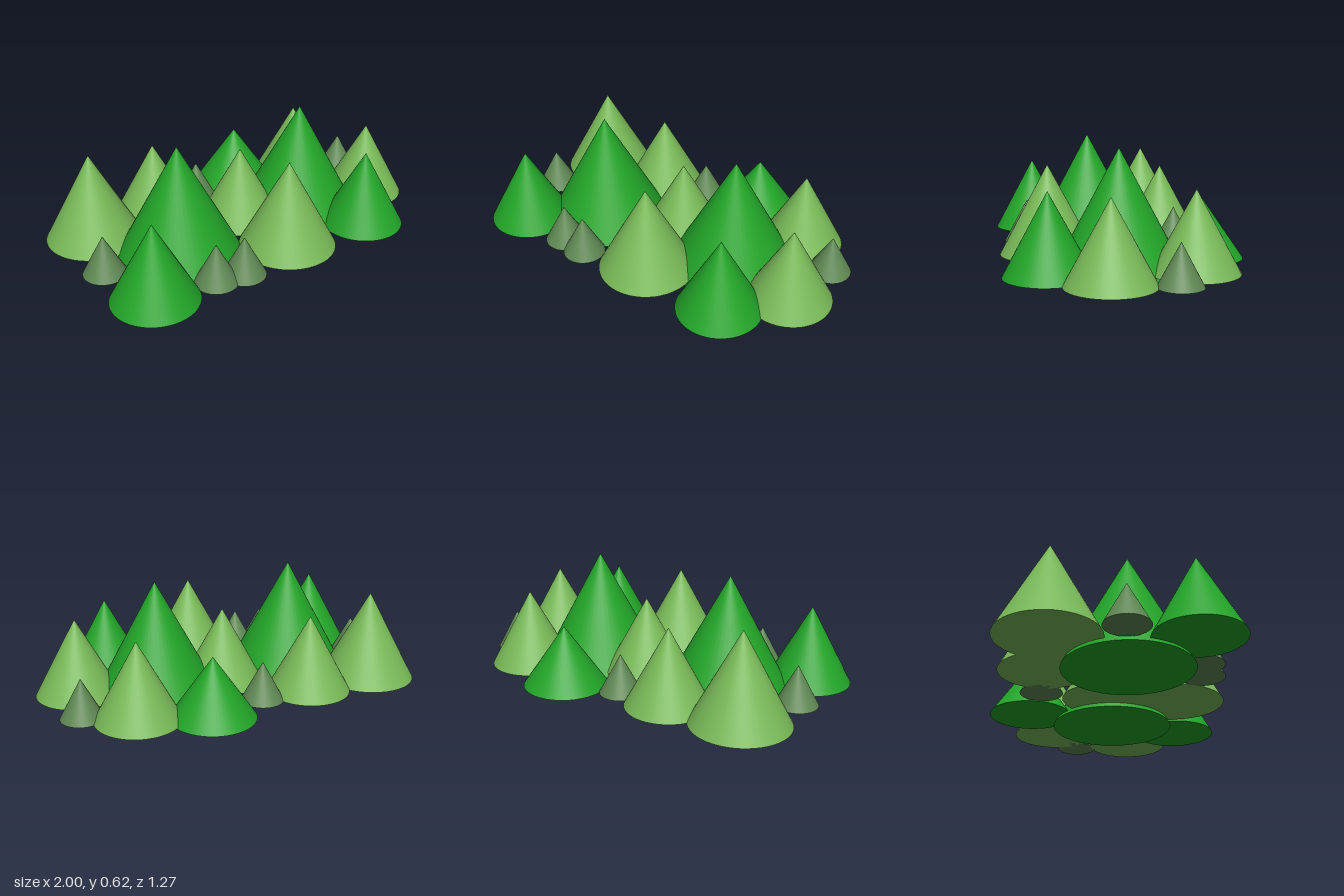
import * as THREE from 'three';

// Tree sizes: base radius, base height, tip height, colour
const KINDS = {
  giantTree: { r: 0.33, base: 0, tip: 0.615, color: 0x22a428 },
  tallTree: { r: 0.255, base: 0.025, tip: 0.5, color: 0x78b957 },
  lightTree: { r: 0.222, base: 0.025, tip: 0.435, color: 0x78b957 },
  greenTree: { r: 0.222, base: 0.02, tip: 0.432, color: 0x22a428 },
  lowTree: { r: 0.222, base: 0.02, tip: 0.34, color: 0x22a428 },
  shrub: { r: 0.112, base: 0.025, tip: 0.235, color: 0x5f8853 },
};

// Positions [x, z] of every tree in the grove
const GROVE = {
  giantTree: [[-0.445, 0.085], [0.37, 0.04]],
  tallTree: [[-0.745, -0.295], [0.045, 0.365]],
  lightTree: [[-0.35, -0.33], [0.6, -0.295], [0.775, 0.148], [0.01, -0.015]],
  greenTree: [[-0.77, 0.385], [0.53, 0.41]],
  lowTree: [[0.25, -0.415]],
  shrub: [[-0.065, -0.345], [0.845, -0.16], [-0.305, 0.465], [-0.455, 0.44], [-0.865, 0.055]],
};

export function createModel() {
  const grove = new THREE.Group();
  grove.name = 'grove';
  for (const [name, spots] of Object.entries(GROVE)) {
    const { r, base, tip, color } = KINDS[name];
    const geometry = new THREE.ConeGeometry(r, tip - base, 48);
    const material = new THREE.MeshStandardMaterial({ color });
    spots.forEach(([x, z], i) => {
      const tree = new THREE.Mesh(geometry, material);
      tree.name = name + (i + 1);
      tree.position.set(x, (base + tip) / 2, z);
      grove.add(tree);
    });
  }
  return grove;
}
